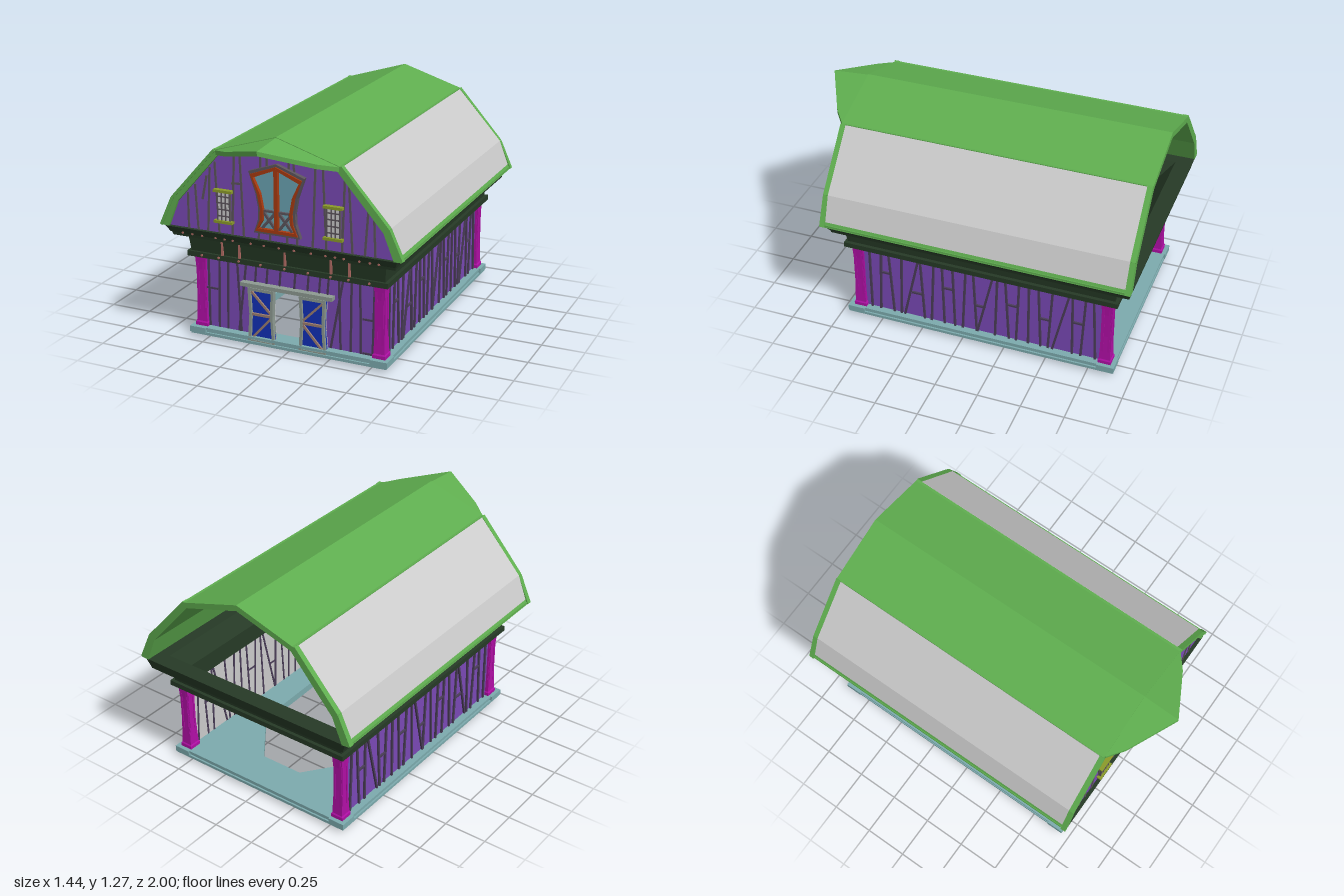
import * as THREE from 'three';

const C = {
  green: 0x5fae4f, grey: 0xcccccc, purple: 0x7a49b6, seam: 0x4a3d58, beam: 0x263a26,
  magenta: 0xb00fa5, teal: 0x7cabae, blue: 0x1230b8, wood: 0x9a7c70, frame: 0x8d9a92,
  strap: 0xb06a62, rust: 0xa83a10, glass: 0x6aa3b3, olive: 0x8a9a2a, dark: 0x5c545c,
};
const mats = {};
const mat = (c) => (mats[c] ??= new THREE.MeshStandardMaterial({ color: c, flatShading: true, side: THREE.DoubleSide }));

function add(parent, name, geo, color) {
  const m = new THREE.Mesh(geo, mat(color));
  m.name = name;
  parent.add(m);
  return m;
}
function box(parent, name, color, w, h, d, x, y, z) {
  const m = add(parent, name, new THREE.BoxGeometry(w, h, d), color);
  m.position.set(x, y, z);
  return m;
}
// Straight bar between two points of the xy plane, centred on z
function bar(parent, name, color, [x1, y1], [x2, y2], w, d, z) {
  const m = box(parent, name, color, Math.hypot(x2 - x1, y2 - y1), w, d, (x1 + x2) / 2, (y1 + y2) / 2, z);
  m.rotation.z = Math.atan2(y2 - y1, x2 - x1);
  return m;
}
// Flat plate cut from an outline, from z to z + depth
function plate(parent, name, color, pts, z, depth, hole) {
  const v = (p) => p.map(([x, y]) => new THREE.Vector2(x, y));
  const shape = new THREE.Shape(v(pts));
  if (hole) shape.holes.push(new THREE.Path(v(hole)));
  const m = add(parent, name, new THREE.ExtrudeGeometry(shape, { depth, bevelEnabled: false }), color);
  m.position.z = z;
  return m;
}
// Complete a half outline (running from the right side to the middle) by mirroring
const mirror = (half) => [...half, ...half.filter(([x]) => x > 0).reverse().map(([x, y]) => [-x, y])];

// Rectangular hoop lofted through rings [y, half width, front z, back z]
function hoop(parent, name, color, rings) {
  const pos = [], idx = [], n = rings.length;
  for (const [y, h, f, b] of rings) pos.push(h, y, f, h, y, b, -h, y, b, -h, y, f);
  for (let i = 0; i < n; i++) for (let k = 0; k < 4; k++) {
    const a = i * 4 + k, b = i * 4 + (k + 1) % 4, j = ((i + 1) % n) * 4;
    idx.push(a, b, j + (k + 1) % 4, a, j + (k + 1) % 4, j + k);
  }
  const g = new THREE.BufferGeometry();
  g.setAttribute('position', new THREE.Float32BufferAttribute(pos, 3));
  g.setIndex(idx);
  const flat = g.toNonIndexed();
  flat.computeVertexNormals();
  return add(parent, name, flat, color);
}

const outer = [[0.715, 0.685], [0.64, 0.85], [0.37, 1.155], [0, 1.27]];
const inner = [[0.67, 0.68], [0.61, 0.83], [0.35, 1.128], [0, 1.235]];
function innerY(x) {
  const a = Math.abs(x);
  for (let i = 0; i < 3; i++) {
    const [x1, y1] = inner[i], [x2, y2] = inner[i + 1];
    if (a >= x2) return y2 + (y1 - y2) * (a - x2) / (x1 - x2);
  }
}

function buildRoof(root) {
  const g = new THREE.Group(); g.name = 'roof'; root.add(g);
  plate(g, 'roofShell', C.green, [...mirror(outer), ...mirror(inner).reverse()], -1, 1.785);
  for (const s of [1, -1]) {
    // Panels on the two lower slopes
    const panel = [[0.7, 0.692], [0.708, 0.69], [0.645, 0.854], [0.375, 1.152], [0.365, 1.14], [0.63, 0.845]]
      .map(([x, y]) => [s * (x + 0.002), y + 0.003]);
    plate(g, 'roofPanel', C.grey, panel, -0.97, 1.73);
    // Pointed hood over the front gable
    const hood = plate(g, 'hood', C.green, [[0, 0.76], [0, 1], [0.27 * s, 0.86], [0.36 * s, 0.79], [0.36 * s, 0.76]], 0, 0.025);
    hood.geometry.rotateX(Math.PI / 2);
    const p = hood.geometry.attributes.position;
    for (let i = 0; i < p.count; i++)
      p.setY(i, p.getY(i) + 1.266 - 0.31 * Math.abs(p.getX(i)) - 0.07 * (p.getZ(i) - 0.79));
    hood.geometry.computeVertexNormals();
    // Raised rims at both ends
    for (const z of [-0.985, 0.775]) for (let i = 0; i < 2; i++)
      bar(g, 'roofRim', C.green, [s * outer[i][0], outer[i][1]], [s * outer[i + 1][0], outer[i + 1][1]], 0.016, 0.03, z);
    box(g, 'roofRidgeTrim', C.green, 0.018, 0.02, 1.78, s * 0.366, 1.148, -0.108);
    box(g, 'eaveTrim', C.green, 0.02, 0.016, 1.78, s * 0.704, 0.69, -0.108);
  }
}

function buildHayDoor(root) {
  const g = new THREE.Group(); g.name = 'hayDoor'; root.add(g);
  const half = [[0.138, 0.725], [0.112, 0.8], [0.108, 0.86], [0.125, 0.95], [0.165, 1.065], [0, 1.122]];
  const shrink = (k) => mirror(half.map(([x, y]) => [Math.max(0, x - (x ? k : 0)), y + (y < 0.73 ? k : y > 1 ? -k : 0)]));
  plate(g, 'outerFrame', C.dark, shrink(0), 0.765, 0.025, shrink(0.013));
  plate(g, 'innerFrame', C.rust, shrink(0.013), 0.765, 0.033, shrink(0.03));
  plate(g, 'glass', C.glass, shrink(0.03), 0.765, 0.012);
  box(g, 'middlePost', C.rust, 0.022, 0.36, 0.036, 0, 0.92, 0.782);
  for (const s of [1, -1]) {
    bar(g, 'crossRail', C.dark, [0.01 * s, 0.855], [0.085 * s, 0.855], 0.012, 0.016, 0.782);
    bar(g, 'crossBrace', C.dark, [0.01 * s, 0.755], [0.082 * s, 0.85], 0.014, 0.014, 0.782);
    bar(g, 'crossBrace', C.dark, [0.01 * s, 0.85], [0.09 * s, 0.755], 0.014, 0.014, 0.782);
  }
}

function buildWindow(root, x) {
  const g = new THREE.Group(); g.name = 'smallWindow'; g.position.x = x; root.add(g);
  box(g, 'pane', C.grey, 0.08, 0.17, 0.014, 0, 0.84, 0.77);
  for (const u of [-0.037, -0.012, 0.012, 0.037]) box(g, 'bar', C.dark, 0.007, 0.17, 0.02, u, 0.84, 0.772);
  for (const y of [0.785, 0.822, 0.859, 0.895]) box(g, 'bar', C.dark, 0.08, 0.007, 0.02, 0, y, 0.772);
  for (const y of [0.753, 0.928]) box(g, 'sill', C.olive, 0.112, 0.015, 0.032, 0, y, 0.777);
}

function buildSlidingDoor(root, s) {
  const g = new THREE.Group(); g.name = 'slidingDoor'; root.add(g);
  const f = (p) => p.map(([x, y]) => [x * s, y]);
  const edge = f([[0.073, 0.02], [0.24, 0.025], [0.228, 0.2], [0.237, 0.355], [0.078, 0.355], [0.085, 0.2]]);
  const gap = f([[0.09, 0.042], [0.222, 0.045], [0.213, 0.2], [0.22, 0.338], [0.094, 0.338], [0.1, 0.2]]);
  plate(g, 'doorFrame', C.frame, edge, 0.662, 0.032, gap);
  plate(g, 'doorPanel', C.blue, edge, 0.667, 0.012);
  plate(g, 'doorBack', C.grey, edge, 0.66, 0.005);
  bar(g, 'doorRail', C.wood, [0.088 * s, 0.198], [0.222 * s, 0.198], 0.014, 0.014, 0.684);
  bar(g, 'doorBrace', C.wood, [0.096 * s, 0.21], [0.218 * s, 0.332], 0.013, 0.012, 0.683);
  bar(g, 'doorBrace', C.wood, [0.096 * s, 0.188], [0.218 * s, 0.05], 0.013, 0.012, 0.683);
}

function buildFrontWall(root) {
  const g = new THREE.Group(); g.name = 'frontWall'; root.add(g);
  const lower = mirror([[0.1, 0.36], [0.1, 0.05], [0.55, 0.05], [0.55, 0.51]]);
  plate(g, 'lowerWall', C.purple, lower, 0.64, 0.01);
  plate(g, 'lowerWallLining', C.grey, lower, 0.628, 0.012);
  plate(g, 'gable', C.purple, mirror(inner), 0.755, 0.01);
  plate(g, 'gableLining', C.grey, mirror(inner), 0.743, 0.012);
  // Plank seams: [x at the bottom, x at the top]
  for (const [a, b] of [[-0.5, -0.5], [-0.44, -0.43], [-0.385, -0.375], [-0.3, -0.32], [-0.315, -0.26], [0.25, 0.33],
    [0.31, 0.3], [0.37, 0.375], [0.43, 0.425], [0.5, 0.51]])
    bar(g, 'seam', C.seam, [a, 0.065], [b, 0.5], 0.012, 0.034, 0.639);
  for (const x of [-0.21, -0.14, -0.06, 0.03, 0.11, 0.18, 0.23])
    bar(g, 'seam', C.seam, [x, 0.36], [x + 0.012, 0.5], 0.011, 0.034, 0.639);
  for (const [x, y] of [[-0.48, 0.295], [0.475, 0.27], [0.475, 0.07]])
    bar(g, 'seam', C.seam, [x - 0.035, y], [x + 0.035, y], 0.011, 0.034, 0.639);
  for (const x of [-0.55, -0.49, -0.43, -0.36, -0.28, -0.21, -0.12, -0.05, 0.05, 0.11, 0.2, 0.28, 0.37, 0.43, 0.5, 0.56]) {
    const top = x + 0.02 * Math.sin(x * 40);
    bar(g, 'gableSeam', C.dark, [x, 0.68], [top, innerY(top) - 0.01], 0.012, 0.034, 0.753);
  }
  bar(g, 'gableSeam', C.dark, [-0.28, 0.975], [-0.22, 0.98], 0.012, 0.034, 0.753);
  bar(g, 'gableSeam', C.dark, [-0.46, 0.86], [-0.43, 1.0], 0.012, 0.034, 0.753);
  box(g, 'doorTrack', C.frame, 0.56, 0.022, 0.04, -0.005, 0.366, 0.67);
  for (const s of [1, -1]) { buildSlidingDoor(g, s); buildWindow(g, s * 0.325); }
  buildHayDoor(g);
}

function buildSideWall(root, s) {
  const g = new THREE.Group(); g.name = 'sideWall'; root.add(g);
  g.rotation.y = s * Math.PI / 2;
  g.position.z = -0.1;
  box(g, 'wall', C.purple, 1.48, 0.46, 0.01, 0, 0.28, 0.55);
  box(g, 'lining', C.grey, 1.48, 0.46, 0.012, 0, 0.28, 0.539);
  for (let i = 0; i < 22; i++) {
    const u = -0.67 + i * 0.064;
    const lean = i % 7 === 4 ? 0.05 : 0.012 * Math.sin(i * 2.3);
    bar(g, 'seam', C.seam, [s * (u - lean), 0.062], [s * (u + lean), 0.5], 0.012, 0.036, 0.548);
    if (i % 3 === 1) bar(g, 'seam', C.seam, [s * u, 0.28 + 0.06 * Math.sin(i)], [s * (u + 0.064), 0.28 + 0.06 * Math.sin(i)], 0.011, 0.036, 0.548);
  }
}

function buildBase(root) {
  const g = new THREE.Group(); g.name = 'base'; root.add(g);
  // Floor with a wide opening; outline in x, z
  const rim = (h, f, b) => [[-h, b], [h, b], [h, f], [-h, f]];
  const opening = mirror([[0.13, -0.68], [0.36, -0.38], [0.38, 0.28], [0.12, 0.6]]);
  const tiers = [[0.6, 0.7, -0.9, 0.036, 0.016], [0.59, 0.69, -0.89, 0.05, 0.014], [0.597, 0.697, -0.897, 0.063, 0.013]];
  for (const [h, f, b, top, depth] of tiers) {
    const m = plate(g, 'floor', C.teal, rim(h, f, b), 0, depth, opening);
    m.geometry.rotateX(Math.PI / 2);
    m.position.y = top;
  }
  for (const s of [1, -1]) for (const z of [0.655, -0.855])
    box(g, 'cornerBlock', C.teal, 0.1, 0.034, 0.1, s * 0.555, 0.046, z);
  box(g, 'loosePlank', C.purple, 0.016, 0.06, 0.06, -0.555, 0.03, -0.14);
}

function buildPosts(root) {
  const r = Math.SQRT2;
  const profile = [[0.038, 0.06], [0.038, 0.082], [0.033, 0.09], [0.027, 0.25], [0.028, 0.4], [0.034, 0.495]]
    .map(([x, y]) => new THREE.Vector2(x * r, y));
  for (const s of [1, -1]) for (const z of [0.637, -0.843]) {
    const g = new THREE.Group(); g.name = 'cornerPost'; g.position.set(s * 0.544, 0, z); root.add(g);
    add(g, 'shaft', new THREE.LatheGeometry(profile, 4, Math.PI / 4), C.magenta);
    for (const u of [-0.018, 0.018]) {
      box(g, 'rib', C.magenta, 0.012, 0.4, 0.062, u, 0.29, 0);
      box(g, 'rib', C.magenta, 0.062, 0.4, 0.012, 0, 0.29, u);
    }
  }
}

function buildBeams(root) {
  const g = new THREE.Group(); g.name = 'beams'; root.add(g);
  hoop(g, 'ringBeam', C.beam, [[0.49, 0.605, 0.705, -0.907], [0.52, 0.605, 0.705, -0.907], [0.52, 0.585, 0.69, -0.888],
    [0.62, 0.595, 0.705, -0.9], [0.62, 0.663, 0.748, -0.982], [0.637, 0.668, 0.752, -0.986], [0.645, 0.672, 0.765, -0.988],
    [0.682, 0.688, 0.787, -0.998], [0.682, 0.6, 0.72, -0.9], [0.6, 0.525, 0.62, -0.82], [0.49, 0.525, 0.62, -0.82]]);
  // Iron straps and bolts on the front
  for (const x of [-0.385, -0.278, 0, 0.275, 0.382]) box(g, 'strap', C.strap, 0.012, 0.1, 0.012, x, 0.57, 0.698);
  const bolt = (x, y, z) => {
    const m = add(g, 'bolt', new THREE.CylinderGeometry(0.007, 0.007, 0.012, 6), C.strap);
    m.rotation.x = Math.PI / 2;
    m.position.set(x, y, z);
  };
  for (const x of [-0.59, -0.53, -0.47, -0.385, -0.33, -0.28, -0.17, -0.09, 0, 0.09, 0.19, 0.275, 0.33, 0.38, 0.47, 0.53, 0.58])
    bolt(x, 0.648, 0.766);
  for (const x of [-0.51, -0.405, -0.28, -0.145, 0, 0.14, 0.275, 0.38, 0.5]) bolt(x, 0.506, 0.706);
}

export function createModel() {
  const root = new THREE.Group();
  root.name = 'barn';
  buildBase(root);
  buildPosts(root);
  buildFrontWall(root);
  for (const s of [1, -1]) buildSideWall(root, s);
  buildBeams(root);
  buildRoof(root);
  return root;
}
